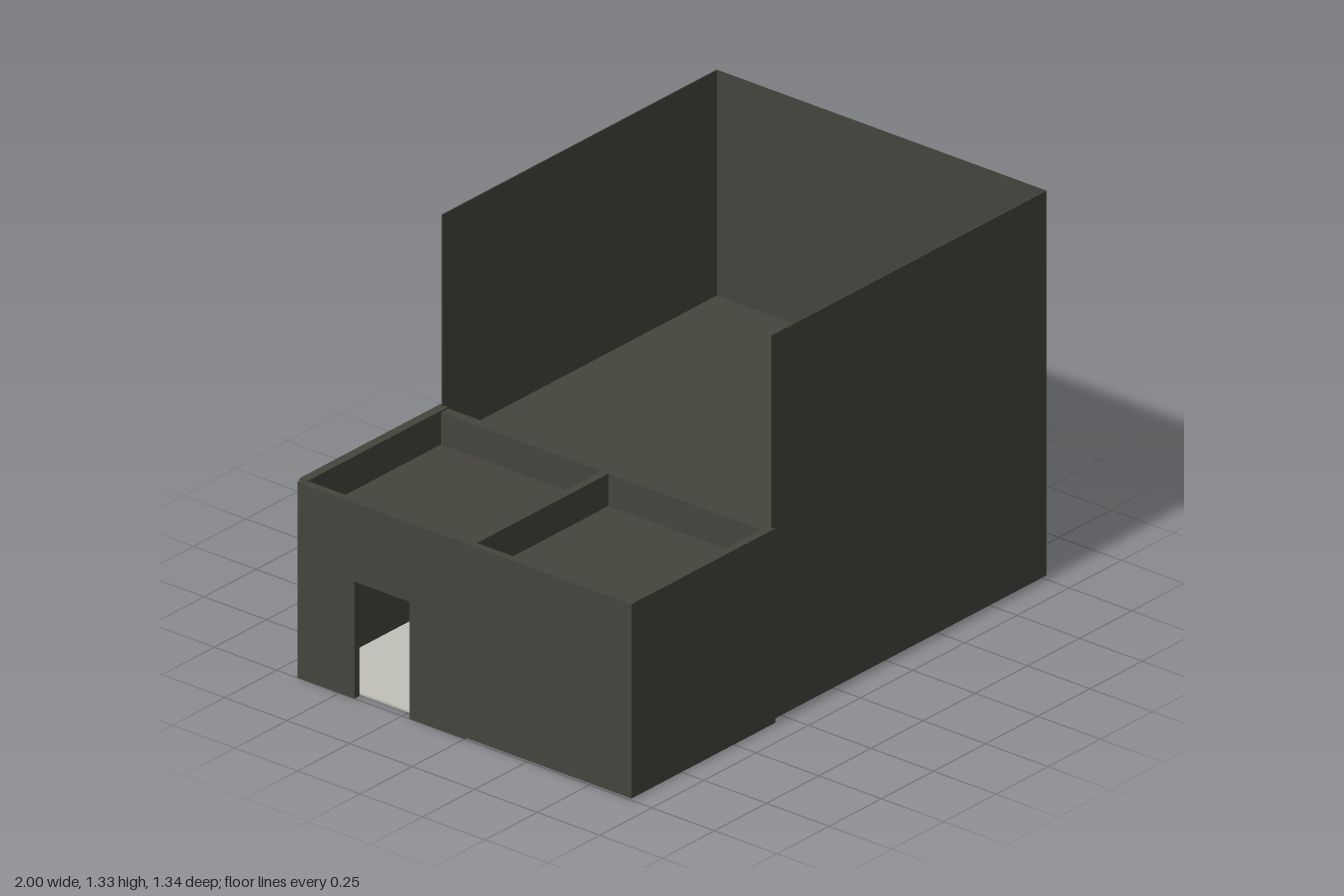
import * as THREE from 'three';

const charcoal = new THREE.MeshStandardMaterial({ color: 0x45453e });
charcoal.name = 'charcoal';
const paleGrey = new THREE.MeshStandardMaterial({ color: 0xc2c2b9 });
paleGrey.name = 'paleGrey';

const DOOR_HEIGHT = 0.4;

// Box given by its minimum and maximum corners
function block(name, min, max, material = charcoal) {
  const size = max.map((v, i) => v - min[i]);
  const mesh = new THREE.Mesh(new THREE.BoxGeometry(...size), material);
  mesh.position.set(...max.map((v, i) => (v + min[i]) / 2));
  mesh.name = name;
  return mesh;
}

// Upright wall from a to b with a doorway between d0 and d1, standing on y = 0
function doorWall(name, a, b, top, thickness, d0, d1) {
  const shape = new THREE.Shape([
    [a, 0], [d0, 0], [d0, DOOR_HEIGHT], [d1, DOOR_HEIGHT],
    [d1, 0], [b, 0], [b, top], [a, top],
  ].map(([x, y]) => new THREE.Vector2(x, y)));
  const geometry = new THREE.ExtrudeGeometry(shape, { depth: thickness, bevelEnabled: false });
  const mesh = new THREE.Mesh(geometry, charcoal);
  mesh.name = name;
  return mesh;
}

// Large hall: thin walls, open at the top and above the small rooms
function createHall() {
  const hall = new THREE.Group();
  hall.name = 'hall';
  const x0 = -0.318, x1 = 1, y0 = 0.015, y1 = 1.33, z = 0.66, t = 0.004;
  hall.add(
    block('hallFrontWall', [x0, y0, z - t], [x1, y1, z]),
    block('hallBackWall', [x0, y0, -z], [x1, y1, -z + t]),
    block('hallSideWall', [x1 - t, y0, -z + t], [x1, y1, z - t]),
    block('hallFloor', [-0.31, y0, -z + t], [x1 - t, y0 + 0.01, z - t]),
    block('upperFloor', [-0.31, 0.54, -z + t], [x1 - t, 0.56, z - t]),
  );
  return hall;
}

// Two small flat-roofed rooms with parapets and connecting doorways
function createRooms() {
  const rooms = new THREE.Group();
  rooms.name = 'rooms';
  const top = 0.67, base = 0.006;

  // Outer walls and the closed wall towards the hall
  rooms.add(
    block('roomFrontWall', [-1, base, 0.64], [-0.31, top, 0.668]),
    block('roomBackWall', [-0.985, base, -0.672], [-0.31, 0.675, -0.64]),
    block('frontRoomOuterWall', [-1, base, 0], [-0.975, top, 0.64]),
    block('backRoomInnerWall', [-0.345, base, -0.64], [-0.31, top, 0]),
  );

  // Walls with doorways
  const partition = doorWall('partitionWall', -0.975, -0.345, top, 0.03, -0.78, -0.56);
  const entrance = doorWall('entranceWall', -0.668, 0, top, 0.025, -0.44, -0.22);
  entrance.rotation.y = -Math.PI / 2;
  entrance.position.x = -0.975;
  const passage = doorWall('passageWall', 0, 0.64, top, 0.035, 0.23, 0.45);
  passage.rotation.y = -Math.PI / 2;
  passage.position.x = -0.31;
  rooms.add(partition, entrance, passage);

  // Roofs and pale floors
  for (const [side, z0, z1] of [['front', 0.03, 0.64], ['back', -0.64, 0]]) {
    rooms.add(
      block(side + 'RoomRoof', [-0.975, 0.54, z0], [-0.345, 0.56, z1]),
    );
  }
  rooms.add(block('roomFloor', [-0.975, 0.005, -0.64], [-0.312, 0.012, 0.64], paleGrey));
  return rooms;
}

export function createModel() {
  const model = new THREE.Group();
  model.name = 'house';
  model.add(createHall(), createRooms());
  return model;
}
